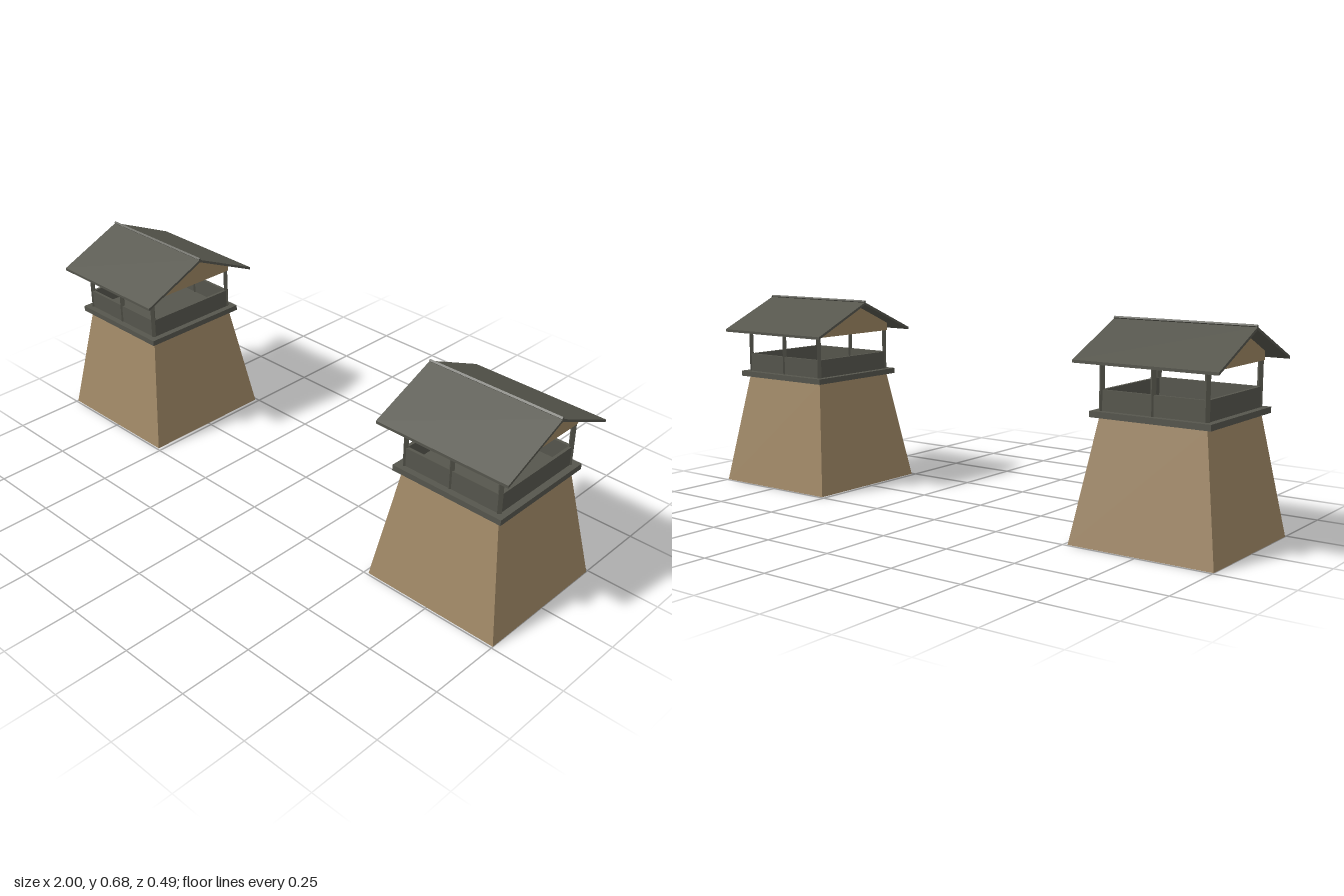
import * as THREE from 'three';

const flat = (name, color) => {
  const m = new THREE.MeshStandardMaterial({ color });
  m.name = name;
  return m;
};

export function createModel() {
  const earth = flat('earthTan', 0xa08866);
  const plaster = flat('gableTan', 0x9a8460);
  const timber = flat('darkTimber', 0x56564d);

  const add = (parent, name, geo, mat, x = 0, y = 0, z = 0) => {
    const mesh = new THREE.Mesh(geo, mat);
    mesh.name = name;
    mesh.position.set(x, y, z);
    parent.add(mesh);
    return mesh;
  };

  // Outline given as [z, y], extruded along x and centred on it
  const extrudeAlongX = (points, width) => {
    const shape = new THREE.Shape(points.map(([z, y]) => new THREE.Vector2(-z, y)));
    const geo = new THREE.ExtrudeGeometry(shape, { depth: width, bevelEnabled: false });
    return geo.translate(0, 0, -width / 2).rotateY(Math.PI / 2);
  };

  // Four-sided pole with its corners on the axes; flat faces
  const pole = (radius, length) =>
    new THREE.CylinderGeometry(radius, radius, length, 4).toNonIndexed();
  const facet = (geo) => { geo.computeVertexNormals(); return geo; };

  const side = 0.173; // distance of posts and walls from the tower axis

  const buildTower = (name, x) => {
    const tower = new THREE.Group();
    tower.name = name;
    tower.position.x = x;

    // Tapered square base
    const r = Math.SQRT2;
    const base = new THREE.CylinderGeometry(0.178 * r, 0.243 * r, 0.39, 4).rotateY(Math.PI / 4);
    add(tower, 'base', facet(base.toNonIndexed()), earth, 0, 0.195, 0);

    // Lookout floor
    add(tower, 'platform', new THREE.BoxGeometry(0.4, 0.019, 0.4), timber, 0, 0.4, 0);

    for (const s of [-1, 1]) {
      // Low parapet walls
      add(tower, 'frontBackWall', new THREE.BoxGeometry(0.34, 0.064, 0.01), timber, 0, 0.441, s * side);
      add(tower, 'sideWall', new THREE.BoxGeometry(0.01, 0.064, 0.34), timber, s * side, 0.441, 0);

      // Corner posts and one middle post on the front and back
      for (const px of [-side, 0, side]) {
        add(tower, 'post', facet(pole(0.0095, 0.174)), timber, px, 0.494, s * side);
      }

      // Gable panels under the roof ends
      const gable = [[-0.178, 0.553], [0.178, 0.553], [0.178, 0.581], [0, 0.662], [-0.178, 0.581]];
      add(tower, 'gable', extrudeAlongX(gable, 0.01), plaster, s * 0.178, 0, 0);
    }

    // Pitched roof sheet and ridge pole
    const roof = [[-0.238, 0.555], [0, 0.661], [0.238, 0.555], [0.238, 0.564], [0, 0.67], [-0.238, 0.564]];
    add(tower, 'roof', extrudeAlongX(roof, 0.476), timber);
    add(tower, 'ridgePole', facet(pole(0.005, 0.476)).rotateZ(Math.PI / 2), timber, 0, 0.672, 0);
    return tower;
  };

  const model = new THREE.Group();
  model.name = 'watchtowers';
  model.add(buildTower('rightTower', -0.757), buildTower('leftTower', 0.757));
  return model;
}
